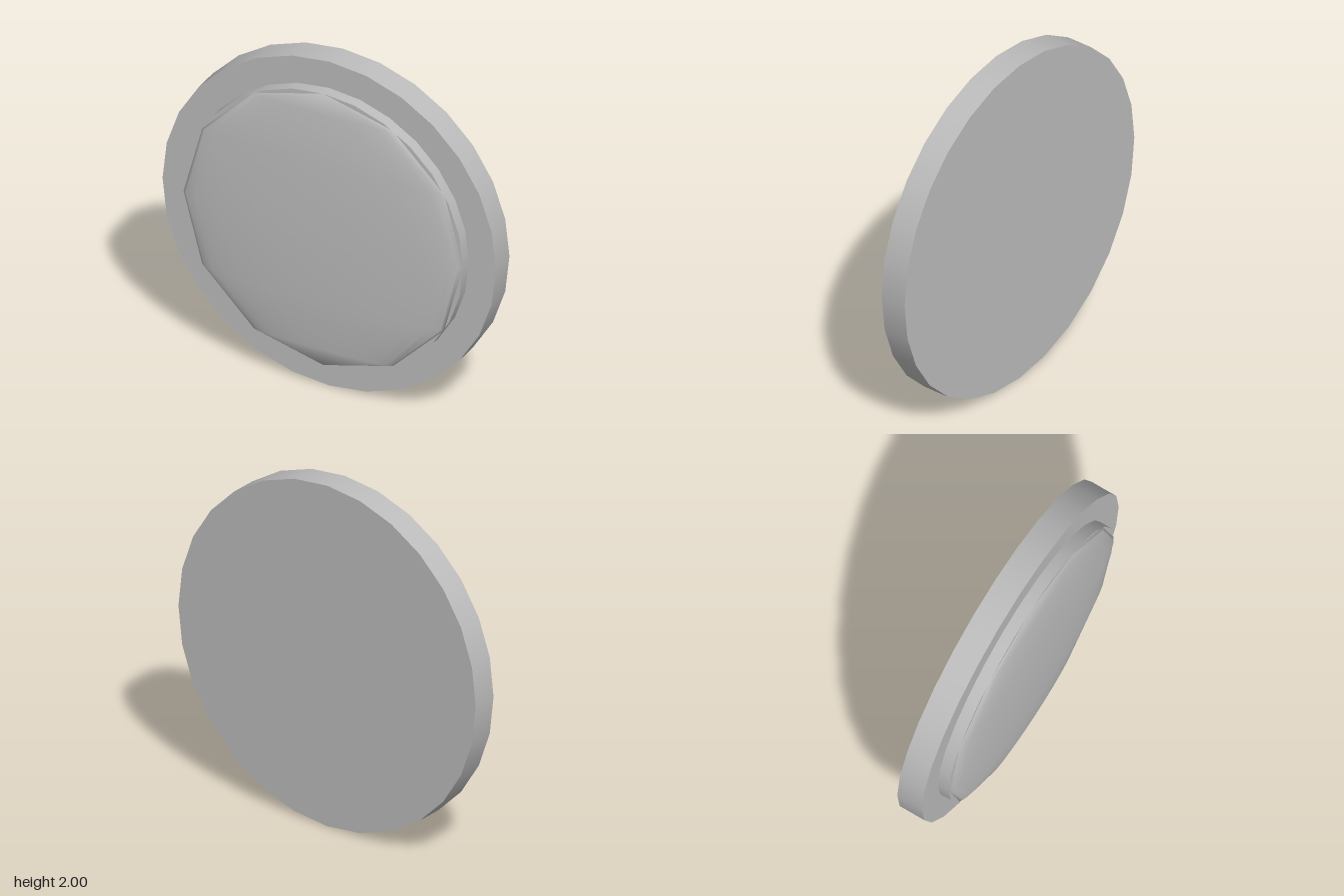
import * as THREE from 'three';

const SIDES = 28;

export function createModel() {
  const model = new THREE.Group();
  model.name = 'roundButton';
  const grey = new THREE.MeshStandardMaterial({ color: 0xbcbcbc });
  grey.name = 'light grey';

  const add = (name, geometry, z) => {
    const mesh = new THREE.Mesh(geometry, grey);
    mesh.name = name;
    mesh.position.set(0, 1, z);
    model.add(mesh);
  };

  // Disc facing the front, between two depths
  const addDisc = (name, radius, back, front) => {
    const geometry = new THREE.CylinderGeometry(radius, radius, front - back, SIDES);
    geometry.rotateX(Math.PI / 2);
    add(name, geometry, (back + front) / 2);
  };

  addDisc('baseDisc', 1, -0.14, 0.013);
  addDisc('raisedRim', 0.838, 0.013, 0.08);

  // Shallow domed cap: a flattened half sphere with its poles at top and bottom
  const dome = new THREE.SphereGeometry(0.838, SIDES / 2, 6, 0, Math.PI);
  dome.scale(1, 1, 0.06 / 0.838);
  add('domedCap', dome, 0.08);

  return model;
}
